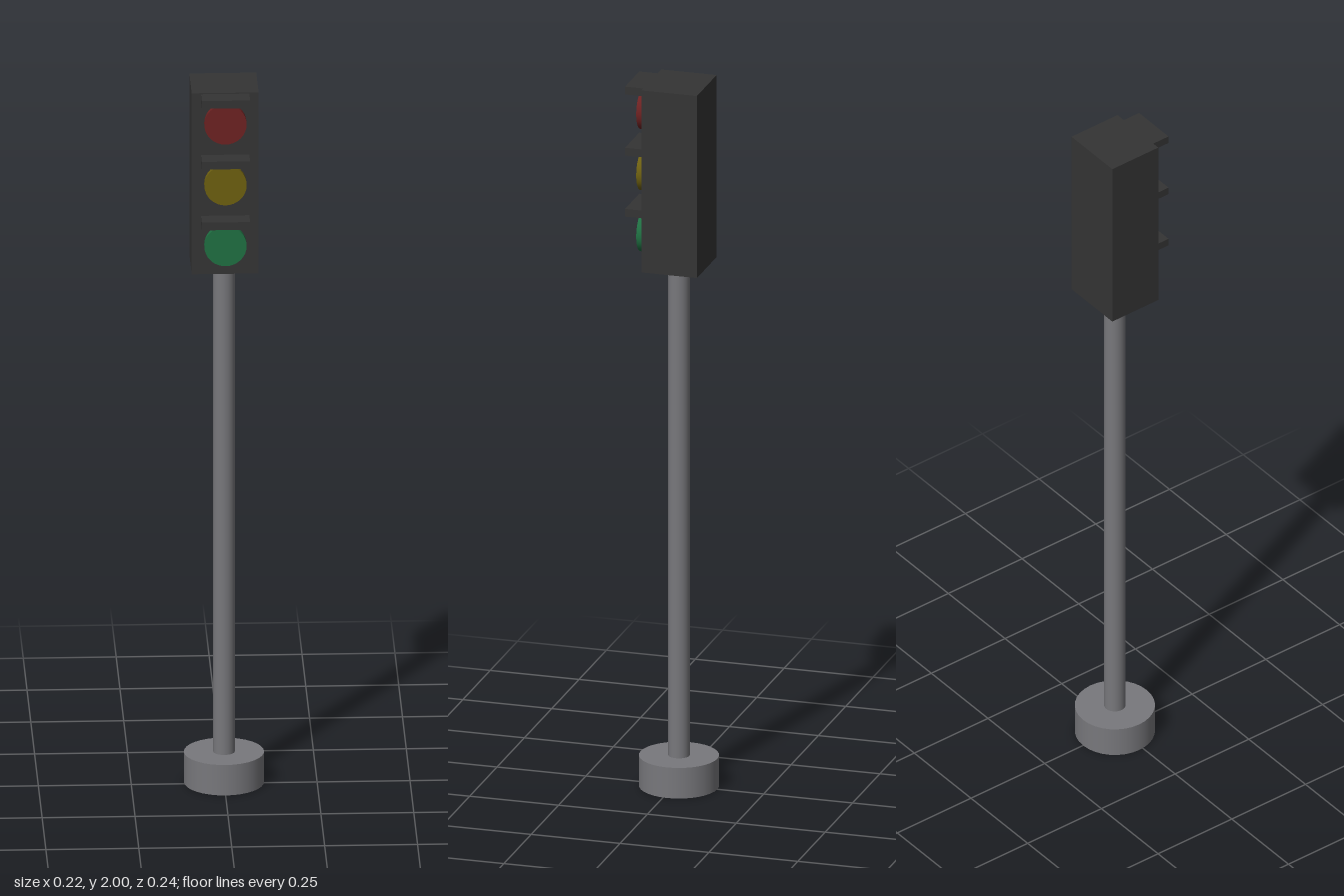
import * as THREE from 'three';

const AXIS_Z = -0.012; // pole and base share this axis

function material(name, color) {
  const m = new THREE.MeshStandardMaterial({ color });
  m.name = name;
  return m;
}

export function createModel() {
  const group = new THREE.Group();
  group.name = 'trafficLight';

  const grey = material('grey metal', 0x78787c);
  const dark = material('dark housing', 0x343434);
  const red = material('red lamp', 0x6e2222);
  const yellow = material('yellow lamp', 0x6e6010);
  const green = material('green lamp', 0x1f7042);

  const add = (name, geometry, mat, x, y, z) => {
    const mesh = new THREE.Mesh(geometry, mat);
    mesh.name = name;
    mesh.position.set(x, y, z);
    group.add(mesh);
    return mesh;
  };

  // Round foot and slim pole
  add('base', new THREE.CylinderGeometry(0.108, 0.108, 0.087, 32), grey, 0, 0.0435, AXIS_Z);
  add('pole', new THREE.CylinderGeometry(0.029, 0.029, 1.41, 24), grey, 0, 0.785, AXIS_Z);

  // Signal box
  add('housing', new THREE.BoxGeometry(0.18, 0.518, 0.156), dark, 0, 1.741, AXIS_Z);

  // Three lamps, each under a flat visor
  const lampGeometry = new THREE.CylinderGeometry(0.057, 0.057, 0.016, 32).rotateX(Math.PI / 2);
  const visorGeometry = new THREE.BoxGeometry(0.13, 0.022, 0.056);
  [['red', red], ['yellow', yellow], ['green', green]].forEach(([name, mat], i) => {
    const y = 1.918 - i * 0.174;
    add(name + 'Lamp', lampGeometry, mat, 0, y, 0.083);
    add(name + 'Visor', visorGeometry, dark, 0, y + 0.068, 0.092);
  });

  return group;
}
